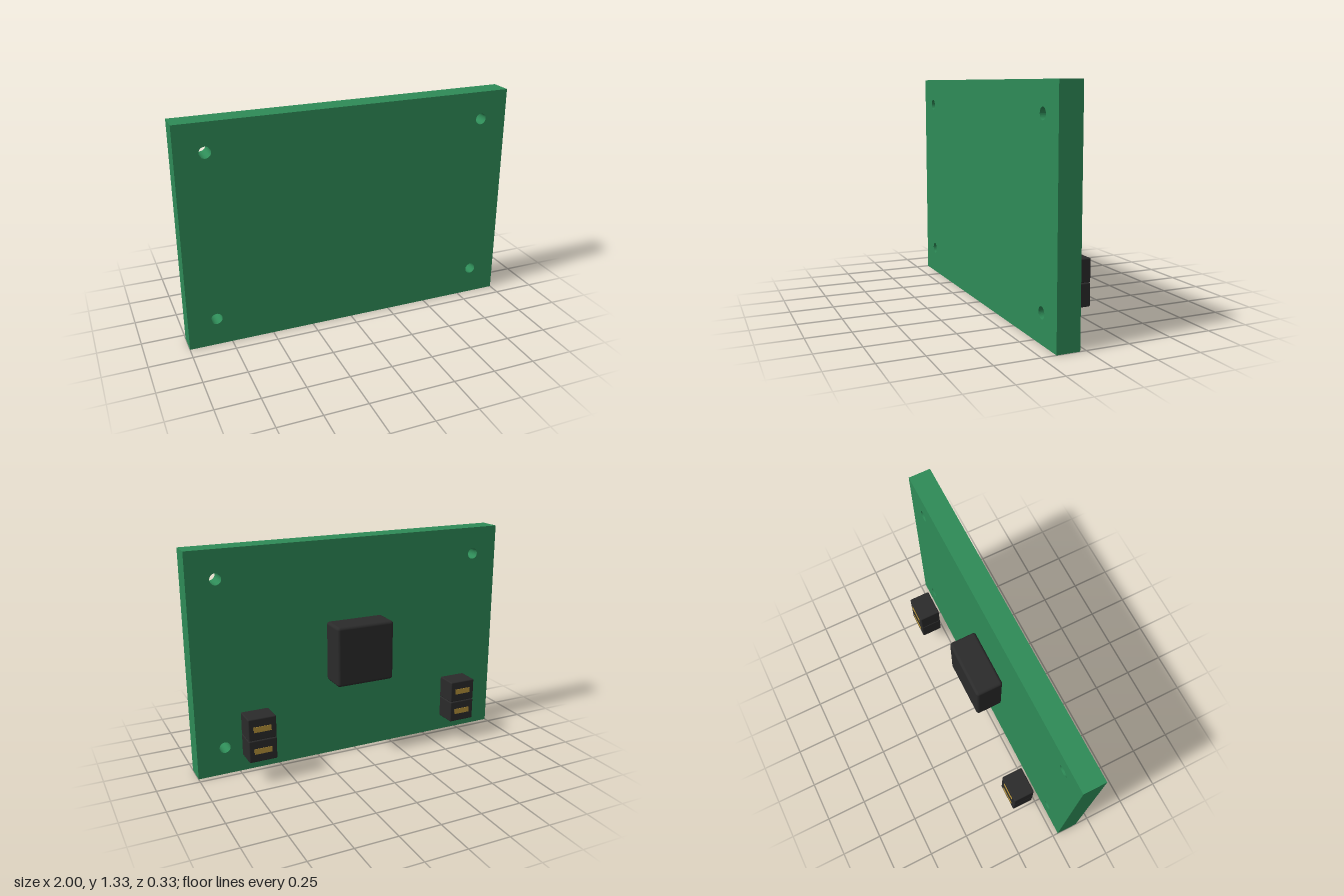
import * as THREE from 'three';
import { RoundedBoxGeometry } from 'three/addons/geometries/RoundedBoxGeometry.js';

const W = 2, H = 1.333, BACK = 0.035, FRONT = 0.167;

function material(name, color) {
  const m = new THREE.MeshStandardMaterial({ color });
  m.name = name;
  return m;
}

function part(name, geometry, mat, x, y, z) {
  const mesh = new THREE.Mesh(geometry, mat);
  mesh.name = name;
  mesh.position.set(x, y, z);
  return mesh;
}

export function createModel() {
  const green = material('boardGreen', 0x2e8b57);
  const black = material('plasticBlack', 0x2b2b2b);
  const gold = material('contactGold', 0xb8943a);

  const model = new THREE.Group();
  model.name = 'circuitBoard';

  // Board with a mounting hole near each corner
  const outline = new THREE.Shape([
    new THREE.Vector2(-W / 2, 0), new THREE.Vector2(W / 2, 0),
    new THREE.Vector2(W / 2, H), new THREE.Vector2(-W / 2, H),
  ]);
  for (const x of [-0.833, 0.833]) {
    for (const y of [0.167, 1.167]) {
      outline.holes.push(new THREE.Path().absarc(x, y, 0.0333, 0, Math.PI * 2, true));
    }
  }
  const boardGeometry = new THREE.ExtrudeGeometry(outline, {
    depth: FRONT - BACK, bevelEnabled: false, curveSegments: 16,
  });
  model.add(part('board', boardGeometry, green, 0, 0, BACK));

  // Processor chip on the back
  const chipGeometry = new RoundedBoxGeometry(0.365, 0.365, 0.168, 4, 0.018);
  model.add(part('chip', chipGeometry, black, 0, 0.667, -0.048));

  // Two stacked sockets on each side, each with a gold contact
  const socketGeometry = new RoundedBoxGeometry(0.167, 0.132, 0.132, 3, 0.007);
  const contactGeometry = new THREE.BoxGeometry(0.105, 0.033, 0.006);
  for (const [side, x] of [['right', -0.667], ['left', 0.667]]) {
    const connector = new THREE.Group();
    connector.name = side + 'Connector';
    for (const y of [0.202, 0.335]) {
      connector.add(part('socket', socketGeometry, black, x, y, -0.099));
      connector.add(part('contact', contactGeometry, gold, x, y, -0.165));
    }
    model.add(connector);
  }
  return model;
}
